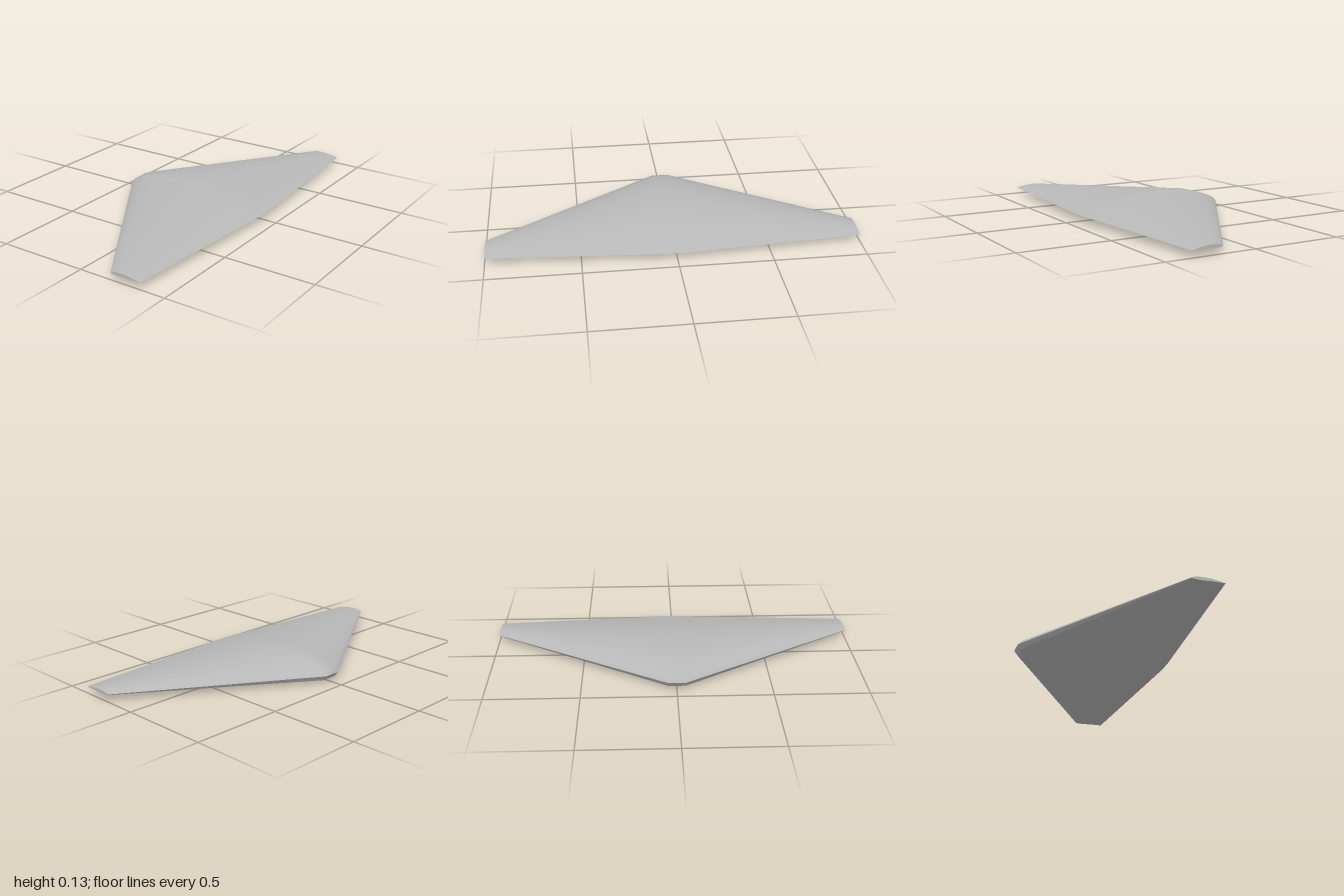
import * as THREE from 'three';
import { toCreasedNormals } from 'three/addons/utils/BufferGeometryUtils.js';

// Centre airfoil: x, upper y, lower y from the leading to the trailing edge
const AIRFOIL = [
  [-0.435, 0.043, 0.043], [-0.415, 0.066, 0.016], [-0.35, 0.093, 0.003],
  [-0.26, 0.115, 0.0], [-0.13, 0.127, 0.007], [0, 0.124, 0.019],
  [0.13, 0.108, 0.027], [0.26, 0.083, 0.032], [0.43, 0.038, 0.038],
];
const CENTRE_HALF_WIDTH = 0.045;

// Airfoil row at a given z; the tip is a smaller, swept-back copy
function row(z, side) {
  const tip = Math.abs(z) > 0.5;
  return AIRFOIL.map((p) => {
    const t = (p[0] + 0.435) / 0.865;
    return tip
      ? [0.187 + 0.173 * t, 0.0395 + 0.15 * (p[side] - 0.043) - 0.003 * t, z]
      : [p[0], p[side], z];
  });
}

// Smooth surface through rows of points
function skin(rows, flip) {
  const n = rows[0].length;
  const index = [];
  for (let i = 0; i < rows.length - 1; i++) {
    for (let j = 0; j < n - 1; j++) {
      const a = i * n + j, b = a + n, c = a + 1, d = b + 1;
      if (flip) index.push(a, c, b, b, c, d);
      else index.push(a, b, c, b, d, c);
    }
  }
  const geometry = new THREE.BufferGeometry();
  geometry.setAttribute('position', new THREE.Float32BufferAttribute(rows.flat(2), 3));
  geometry.setIndex(index);
  geometry.computeVertexNormals();
  return geometry;
}

export function createModel() {
  const group = new THREE.Group();
  group.name = 'flyingWing';
  const grey = new THREE.MeshStandardMaterial({ color: 0xb8b8b8 });
  grey.name = 'light grey';

  const add = (name, geometry) => {
    const mesh = new THREE.Mesh(geometry, grey);
    mesh.name = name;
    group.add(mesh);
  };

  // Upper and lower skins meet in a sharp leading and trailing edge
  const stations = [-1, -CENTRE_HALF_WIDTH, CENTRE_HALF_WIDTH, 1];
  add('upperSkin', skin(stations.map((z) => row(z, 1)), false));
  add('lowerSkin', toCreasedNormals(skin(stations.map((z) => row(z, 2)), true), 0.35));

  // Flat end caps
  for (const z of [-1, 1]) {
    add(z > 0 ? 'frontWingTip' : 'backWingTip', skin([row(z, 2), row(z, 1)], z > 0));
  }
  return group;
}
